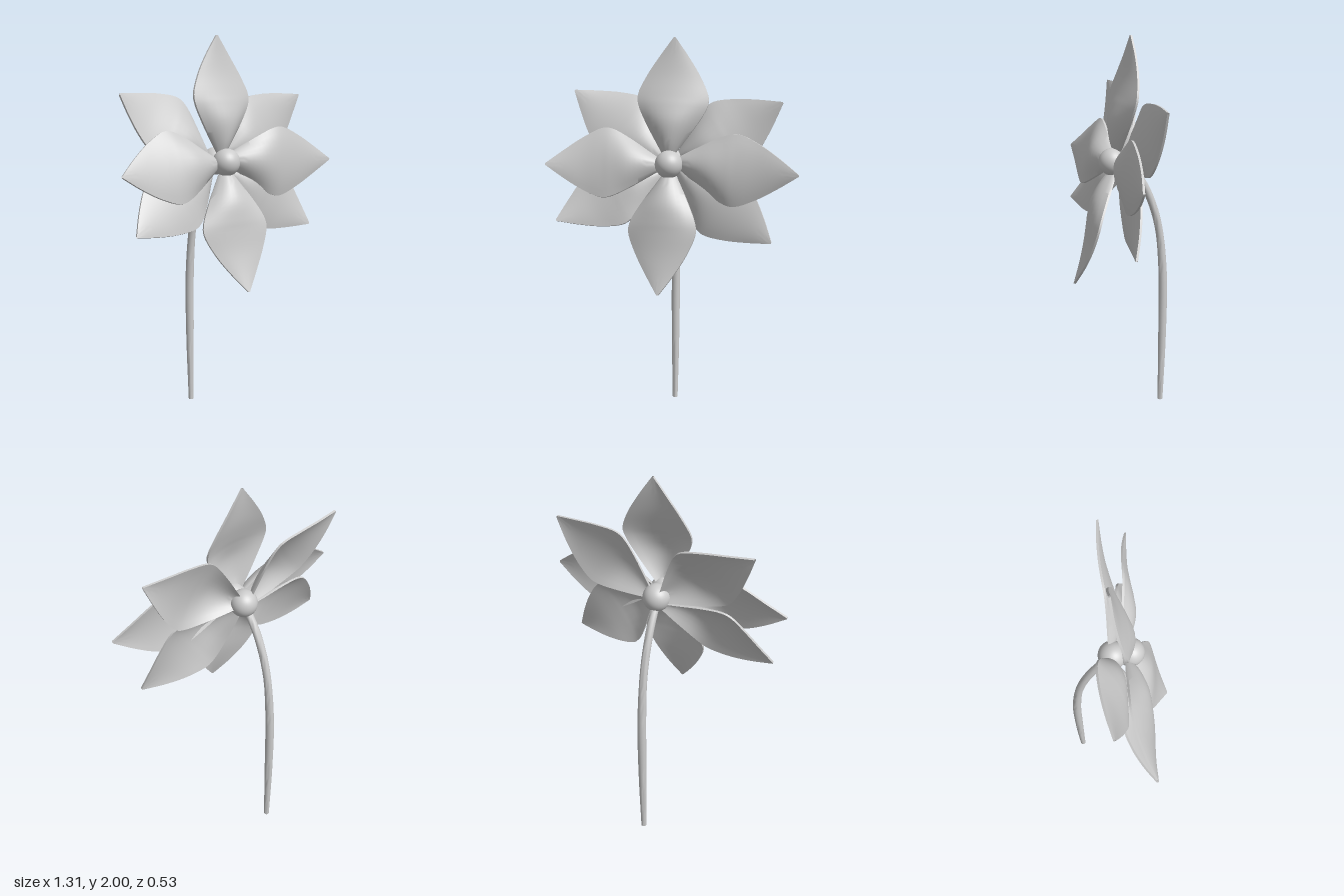
import * as THREE from 'three';
import { toCreasedNormals } from 'three/addons/utils/BufferGeometryUtils.js';

const V = (x, y, z) => new THREE.Vector3(x, y, z);
const material = new THREE.MeshStandardMaterial({ color: 0xcccccc, side: THREE.DoubleSide });

// Direction the blossom faces, and its centre
const facing = V(-0.07, 0.235, 1).normalize();
const centre = V(-0.008, 1.36, 0);

// Closed tube-like skin through rings of points
function skin(rings) {
  const n = rings[0].length, positions = [], index = [];
  rings.forEach(ring => ring.forEach(p => positions.push(p.x, p.y, p.z)));
  for (let i = 0; i < rings.length - 1; i++) {
    for (let j = 0; j < n; j++) {
      const a = i * n + j, b = i * n + (j + 1) % n;
      index.push(a, b, b + n, a, b + n, a + n);
    }
  }
  const geometry = new THREE.BufferGeometry();
  geometry.setAttribute('position', new THREE.Float32BufferAttribute(positions, 3));
  geometry.setIndex(index);
  return geometry;
}

// Petal along +y: folded back around a ridge at the base, flat and pointed at the tip
function petalGeometry() {
  const ridge = new THREE.CatmullRomCurve3([
    V(0, 0.03, -0.06), V(0, 0.1, -0.018), V(0, 0.2, 0.012), V(0, 0.29, 0.008),
    V(0, 0.34, 0.001), V(0, 0.44, -0.009), V(0, 0.54, -0.008), V(0, 0.64, 0)]);
  const edge = new THREE.CatmullRomCurve3([
    V(0.02, 0.03, -0.07), V(0.066, 0.1, -0.06), V(0.13, 0.2, -0.043), V(0.176, 0.29, -0.031),
    V(0.182, 0.34, -0.029), V(0.14, 0.44, -0.027), V(0.077, 0.54, -0.018), V(0.004, 0.64, 0)]);
  const steps = 28, across = 10, thickness = 0.011, rings = [];
  for (let i = 0; i <= steps; i++) {
    const m = ridge.getPoint(i / steps), e = edge.getPoint(i / steps);
    const front = [], back = [];
    for (let j = 0; j <= across; j++) {
      const u = j / across * 2 - 1;
      // one shoulder is a little wider than the other
      const p = V((u + 0.06) * e.x, THREE.MathUtils.lerp(m.y, e.y, u * u), THREE.MathUtils.lerp(m.z, e.z, u * u));
      front.push(p);
      back.unshift(p.clone().setZ(p.z - thickness));
    }
    rings.push([...front, ...back]);
  }
  return toCreasedNormals(skin(rings), 0.7);
}

// A petal reaching from the blossom axis to the given tip, pitched like a pinwheel blade
function addPetal(group, geometry, tip, height, pitch, name) {
  const origin = centre.clone().addScaledVector(facing, height);
  const along = tip.clone().sub(origin);
  const length = along.length();
  along.normalize();
  const side = along.clone().cross(facing).normalize();
  const normal = side.clone().cross(along);
  const petal = new THREE.Mesh(geometry, material);
  petal.name = name;
  petal.quaternion.setFromRotationMatrix(new THREE.Matrix4().makeBasis(side, along, normal));
  petal.rotateY(pitch);
  petal.position.copy(origin);
  petal.scale.y = length / 0.64;
  group.add(petal);
}

// Bent stem, slimmer at the foot
function stemGeometry() {
  const path = new THREE.CatmullRomCurve3([
    V(-0.018, 0, -0.235), V(-0.017, 0.4, -0.243), V(-0.016, 0.75, -0.241), V(-0.015, 1.01, -0.211),
    V(-0.014, 1.185, -0.152), V(-0.012, 1.29, -0.09), V(-0.01, 1.335, -0.05)]);
  const steps = 32, sides = 14, rings = [];
  for (let i = 0; i <= steps; i++) {
    const t = i / steps, p = path.getPointAt(t), tangent = path.getTangentAt(t);
    const x = V(1, 0, 0), out = x.clone().cross(tangent).normalize();
    const r = 0.014 + 0.009 * Math.sin(Math.PI * Math.min(t * 1.1, 0.75));
    const ring = [];
    for (let j = 0; j < sides; j++) {
      const a = -j / sides * Math.PI * 2;
      ring.push(p.clone().addScaledVector(x, r * Math.cos(a)).addScaledVector(out, r * Math.sin(a)));
    }
    if (i === 0) rings.push(ring.map(() => p.clone()), ring.map(q => q.clone().setY(0)));
    else rings.push(ring);
  }
  return toCreasedNormals(skin(rings), 0.9);
}

export function createModel() {
  const model = new THREE.Group();
  model.name = 'flower';

  const stem = new THREE.Mesh(stemGeometry(), material);
  stem.name = 'stem';
  model.add(stem);

  // Front and back buttons holding the petals
  const ball = new THREE.SphereGeometry(0.071, 32, 20);
  [['frontButton', 1.365, 0.05], ['backButton', 1.363, -0.04]].forEach(([name, y, z]) => {
    const button = new THREE.Mesh(ball, material);
    button.name = name;
    button.position.set(-0.006, y, z);
    model.add(button);
  });

  // Two layers of four petals: tip, height of the root on the axis, pitch
  const petal = petalGeometry();
  const blossom = new THREE.Group();
  blossom.name = 'blossom';
  [
    ['frontTopPetal', V(0.01, 2, -0.04), 0.105, 0.09],
    ['frontLeftPetal', V(0.655, 1.335, 0.148), 0.085, 0.19],
    ['frontBottomPetal', V(-0.03, 0.73, 0.258), 0.098, 0.13],
    ['frontRightPetal', V(-0.655, 1.355, 0.065), 0.105, 0.1],
    ['backUpperRightPetal', V(-0.535, 1.725, -0.115), 0.025, 0.15],
    ['backUpperLeftPetal', V(0.562, 1.68, -0.005), 0.03, 0.13],
    ['backLowerLeftPetal', V(0.525, 0.99, 0.13), 0.025, 0.16],
    ['backLowerRightPetal', V(-0.595, 1.065, 0.09), 0.025, 0.15],
  ].forEach(([name, tip, height, pitch]) => addPetal(blossom, petal, tip, height, pitch, name));
  model.add(blossom);
  return model;
}
